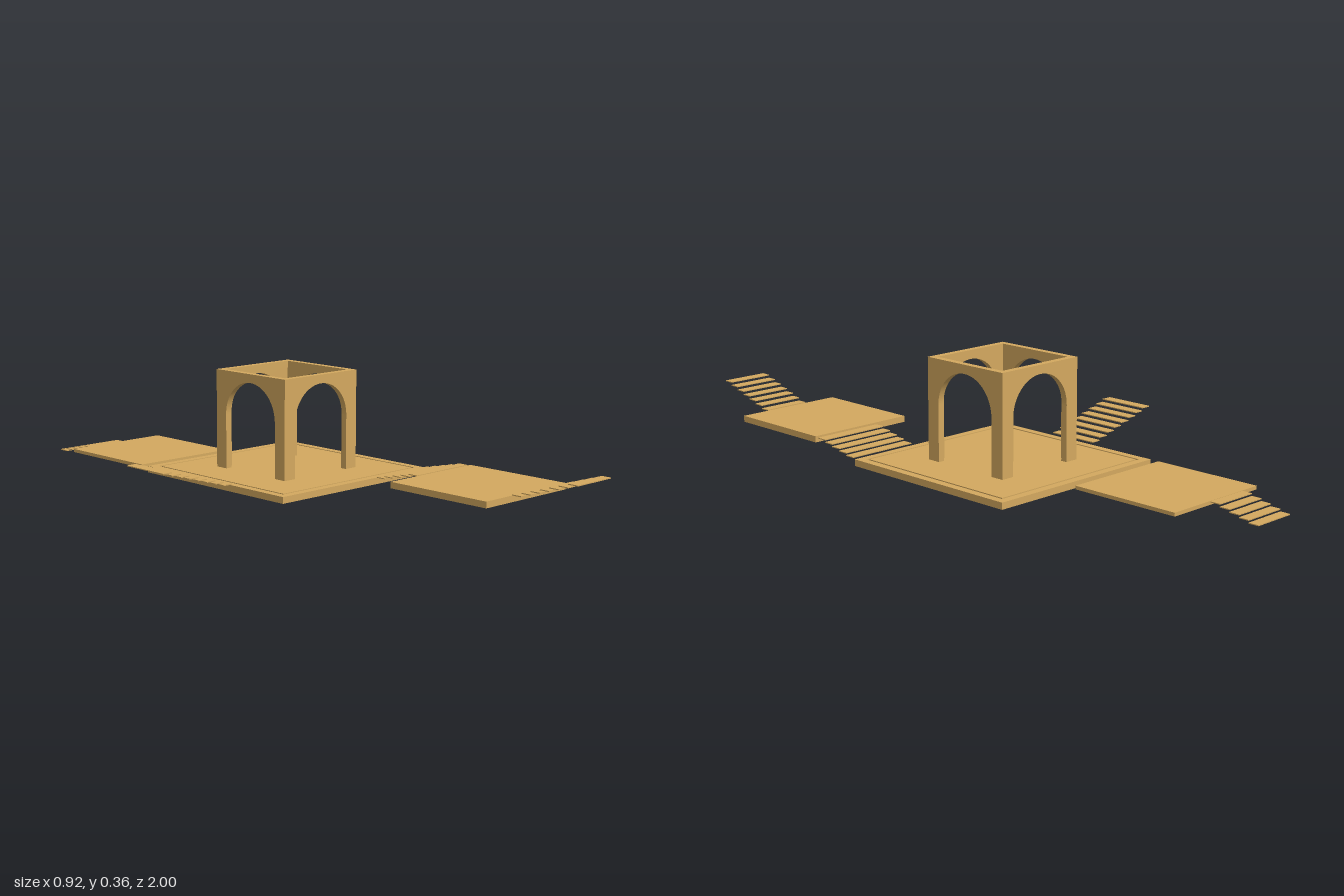
import * as THREE from 'three';

const stone = new THREE.MeshStandardMaterial({ color: 0xd4a95f });
const CX = 0.139, CZ = -0.112; // centre of the main platform and pavilion

// Box given by its limits
function slab(name, x0, x1, y0, y1, z0, z1) {
  const mesh = new THREE.Mesh(new THREE.BoxGeometry(x1 - x0, y1 - y0, z1 - z0), stone);
  mesh.position.set((x0 + x1) / 2, (y0 + y1) / 2, (z0 + z1) / 2);
  mesh.name = name;
  return mesh;
}

// Flight of thin floating treads, running along local +z from the start point
function stairs(name, { x, z, turn = 0, count, width, run, top0, rise }) {
  const group = new THREE.Group();
  group.name = name;
  const thick = 0.003, tread = run / count;
  for (let i = 0; i < count; i++) {
    const top = top0 + i * rise;
    group.add(slab('tread', -width / 2, width / 2, top - thick, top, i * tread, (i + 1) * tread));
  }
  group.position.set(x, 0, z);
  group.rotation.y = turn;
  return group;
}

// Wall panel with a round-headed opening, centred on x, facing z
function archWall(half, thick) {
  const r = 0.114, height = 0.32, spring = 0.178;
  const s = new THREE.Shape();
  s.moveTo(-half, 0);
  s.lineTo(-r, 0);
  s.lineTo(-r, spring);
  s.absarc(0, spring, r, Math.PI, 0, true);
  s.lineTo(r, 0);
  s.lineTo(half, 0);
  s.lineTo(half, height);
  s.lineTo(-half, height);
  s.closePath();
  return new THREE.ExtrudeGeometry(s, { depth: thick, bevelEnabled: false, curveSegments: 32 });
}

// Flat square frame lying on the ground plane
function squareFrame(outer, inner, height) {
  const square = (P, h) => new P([[-h, -h], [h, -h], [h, h], [-h, h]].map(p => new THREE.Vector2(...p)));
  const s = square(THREE.Shape, outer);
  s.holes.push(square(THREE.Path, inner));
  return new THREE.ExtrudeGeometry(s, { depth: height, bevelEnabled: false }).rotateX(-Math.PI / 2);
}

export function createModel() {
  const model = new THREE.Group();
  model.name = 'archedPavilionCourt';

  // Main platform: border and inner floor separated by a narrow slot
  const border = new THREE.Mesh(squareFrame(0.319, 0.294, 0.021), stone);
  border.name = 'platformBorder';
  border.position.set(CX, 0.015, CZ);
  const f = 0.287;
  model.add(border, slab('platformFloor', CX - f, CX + f, 0.015, 0.036, CZ - f, CZ + f));

  // Open-topped pavilion with an arch on each side
  const pavilion = new THREE.Group();
  pavilion.name = 'pavilion';
  const half = 0.159, thick = 0.021;
  for (let i = 0; i < 4; i++) {
    const wall = new THREE.Mesh(archWall(i % 2 ? half - thick : half, thick), stone);
    wall.geometry.translate(0, 0, half - thick);
    wall.rotation.y = i * Math.PI / 2;
    wall.name = 'archWall';
    pavilion.add(wall);
  }
  pavilion.position.set(CX, 0.036, CZ);
  model.add(pavilion);

  // Landings
  model.add(slab('frontLanding', 0.087, 0.457, 0.053, 0.073, 0.397, 0.769));
  model.add(slab('backLanding', -0.18, 0.19, 0.025, 0.036, -0.832, -0.462));

  // Stair flights
  model.add(stairs('frontLowerStairs',
    { x: 0.338, z: 0.216, count: 5, width: 0.238, run: 0.168, top0: 0.041, rise: 0.0075 }));
  model.add(stairs('frontUpperStairs',
    { x: 0.282, z: 0.769, count: 7, width: 0.157, run: 0.231, top0: 0.076, rise: 0.0105 }));
  model.add(stairs('sideStairs',
    { x: -0.186, z: -0.1, turn: -Math.PI / 2, count: 8, width: 0.172, run: 0.273, top0: 0.0435, rise: 0.01 }));
  model.add(stairs('backStairs',
    { x: -0.039, z: -0.832, turn: Math.PI, count: 5, width: 0.147, run: 0.168, top0: 0.035, rise: -0.008 }));

  return model;
}
